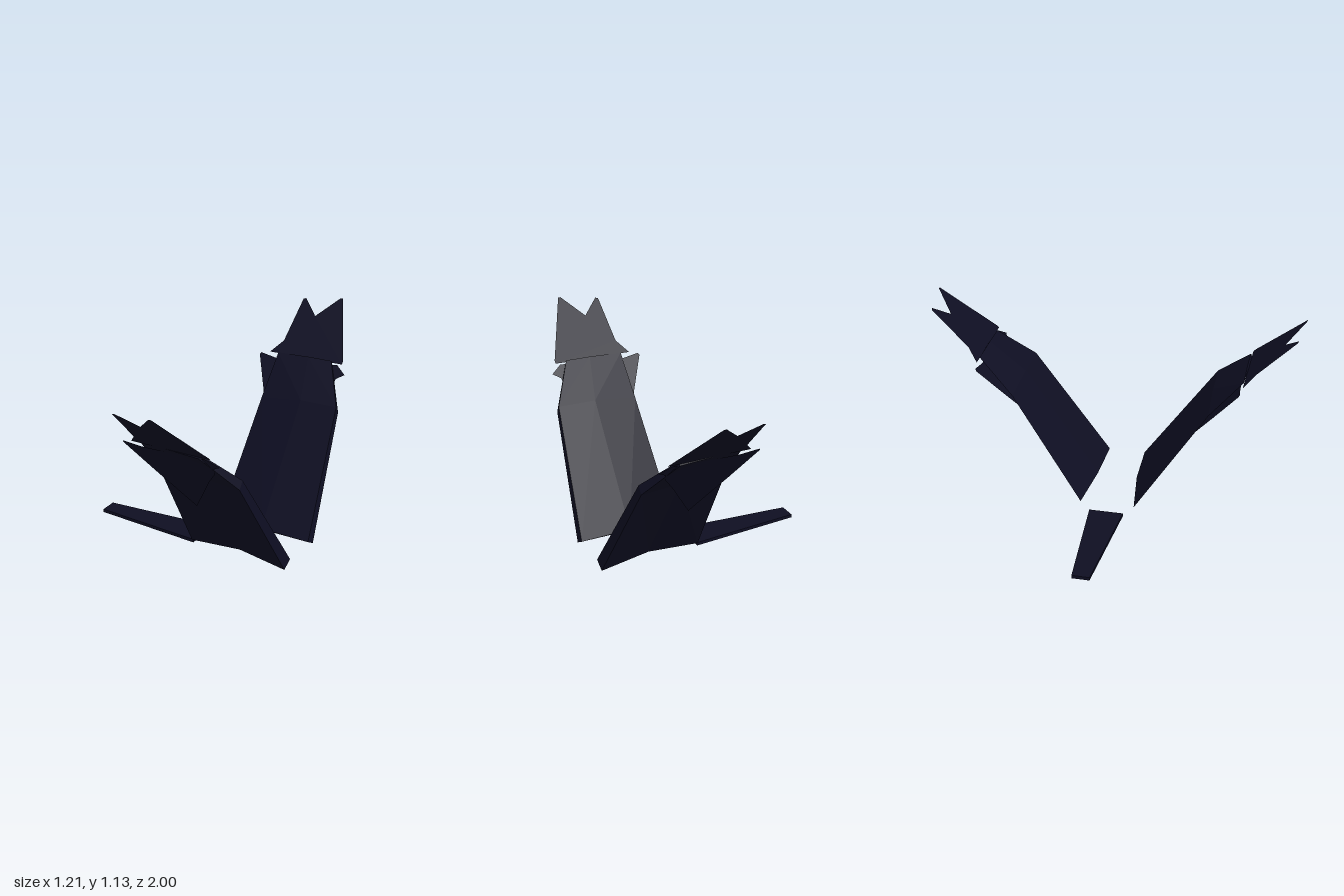
import * as THREE from 'three';

const navy = new THREE.MeshStandardMaterial({ color: 0x0e0e22, flatShading: true, side: THREE.DoubleSide });
navy.name = 'midnightNavy';

// Skin five-point sections [upper lead, upper mid, trailing edge, lower mid, lower lead]
function panelGeometry(stations, side) {
  const pos = [];
  const tri = (a, b, c) => {
    for (const p of side > 0 ? [a, b, c] : [a, c, b]) pos.push(p[0], p[1], p[2] * side);
  };
  for (let i = 0; i < stations.length - 1; i++) {
    const s = stations[i], t = stations[i + 1];
    for (let j = 0; j < 5; j++) {
      const k = (j + 1) % 5;
      tri(s[j], s[k], t[k]);
      tri(s[j], t[k], t[j]);
    }
  }
  const root = stations[0], tip = stations[stations.length - 1];
  for (const [a, b, c] of [[0, 1, 3], [0, 3, 4], [1, 2, 3]]) {
    tri(root[a], root[c], root[b]);
    tri(tip[a], tip[b], tip[c]);
  }
  const g = new THREE.BufferGeometry();
  g.setAttribute('position', new THREE.Float32BufferAttribute(pos, 3));
  g.computeVertexNormals();
  return g;
}

// Flat outline in x, y leaned outwards: z is a linear rule of y
function featherGeometry(outline, y0, z0, slope, side) {
  const shape = new THREE.Shape(outline.map(([x, y]) => new THREE.Vector2(x, y)));
  const g = new THREE.ShapeGeometry(shape);
  const p = g.attributes.position;
  for (let i = 0; i < p.count; i++) p.setZ(i, side * (z0 + (p.getY(i) - y0) * slope));
  g.computeVertexNormals();
  return g;
}

const wingStations = [
  // root
  [[0.605, 0.072, 0.105], [0.32, 0.072, 0.113], [0.04, 0.05, 0.15], [0.32, 0.058, 0.128], [0.605, 0.037, 0.166]],
  // bend
  [[0.545, 0.685, 0.522], [0.33, 0.68, 0.525], [0.085, 0.645, 0.535], [0.33, 0.655, 0.542], [0.545, 0.645, 0.55]],
  // tip
  [[0.42, 0.867, 0.708], [0.28, 0.865, 0.708], [0.092, 0.855, 0.71], [0.28, 0.853, 0.716], [0.42, 0.848, 0.72]],
];

const middleFeathers = [
  [0.22, 0.41], [0.4, 0.67], [0.46, 0.745], [0.47, 0.785], [0.513, 0.81], [0.455, 0.848],
  [0.3, 0.835], [0.09, 0.825], [-0.01, 0.838], [-0.018, 0.828], [0.085, 0.64],
];

const outerFeathers = [
  [0.04, 0.85], [0.48, 0.855], [0.48, 0.868], [0.342, 1.13], [0.328, 1.13],
  [0.22, 1.035], [0.127, 1.105], [0.112, 1.1], [0.095, 0.908],
];

export function createModel() {
  const model = new THREE.Group();
  model.name = 'wingsAndTail';

  const add = (parent, name, geometry) => {
    const mesh = new THREE.Mesh(geometry, navy);
    mesh.name = name;
    parent.add(mesh);
    return mesh;
  };

  // Mirrored pair of raised wings
  for (const [name, side] of [['leftWing', 1], ['rightWing', -1]]) {
    const wing = new THREE.Group();
    wing.name = name;
    add(wing, 'wingPanel', panelGeometry(wingStations, side));
    add(wing, 'middleFeathers', featherGeometry(middleFeathers, 0.41, 0.4, 0.71, side));
    add(wing, 'outerFeathers', featherGeometry(outerFeathers, 0.855, 0.716, 1.033, side));
    model.add(wing);
  }

  // Flat tapered tail
  const tail = new THREE.BoxGeometry(0.622, 0.018, 0.19);
  const p = tail.attributes.position;
  for (let i = 0; i < p.count; i++) if (p.getX(i) < 0) p.setZ(i, p.getZ(i) * 0.5);
  tail.translate(-0.296, 0.009, 0);
  tail.computeVertexNormals();
  add(model, 'tail', tail);

  return model;
}
